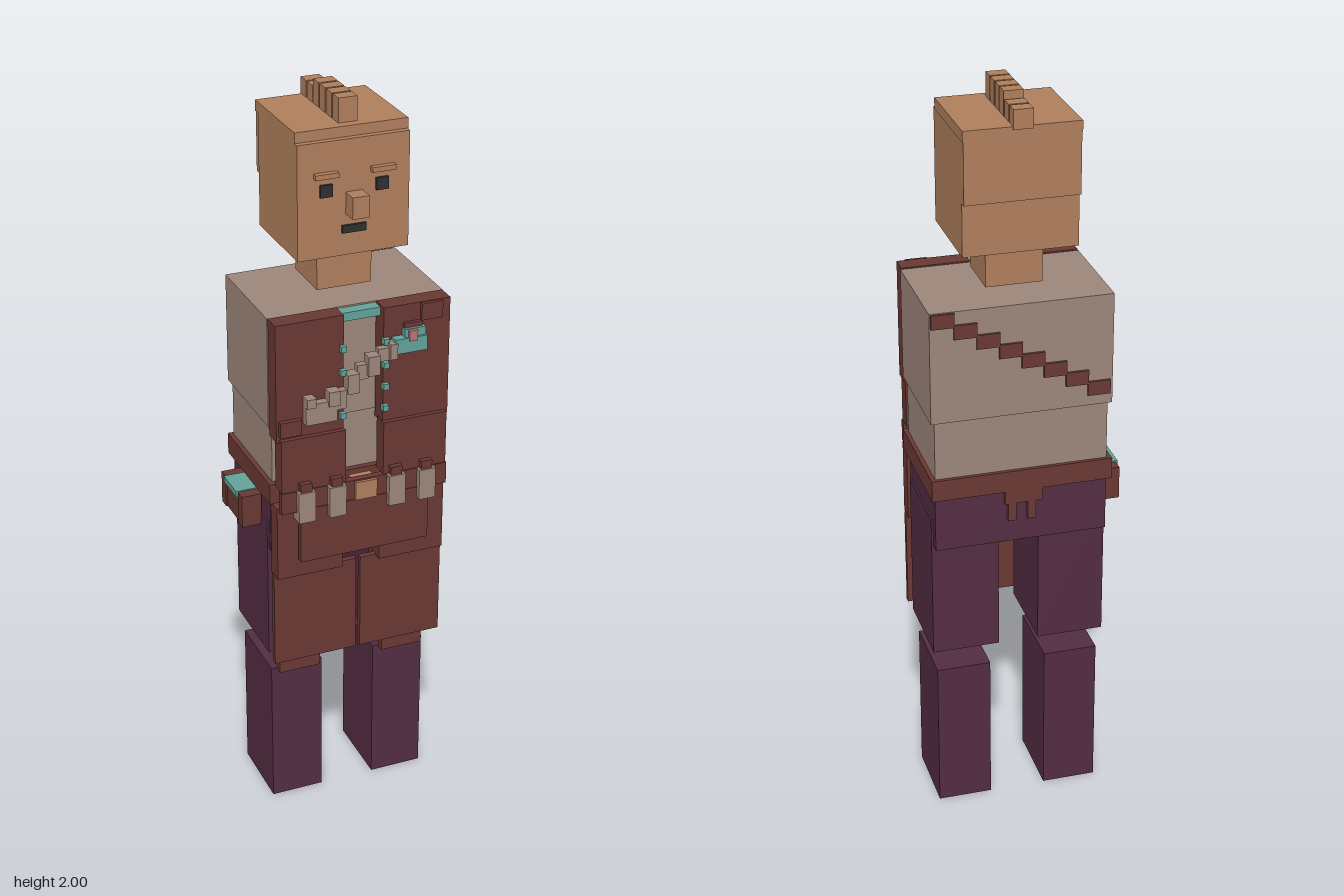
import * as THREE from 'three';

const mat = (name, color) => {
  const m = new THREE.MeshStandardMaterial({ color });
  m.name = name;
  return m;
};

export function createModel() {
  const skin = mat('skin', 0xae7e5b);
  const cloth = mat('taupeCloth', 0x9b857a);
  const leather = mat('brownLeather', 0x693833);
  const trousers = mat('plumTrousers', 0x522c42);
  const teal = mat('teal', 0x62a29a);
  const dark = mat('charcoal', 0x2f2f2f);
  const pink = mat('pinkGem', 0xb87474);

  const model = new THREE.Group();
  model.name = 'blockFigure';

  // Box given by its lower and upper limits on each axis
  const box = (name, m, x0, x1, y0, y1, z0, z1) => {
    const mesh = new THREE.Mesh(new THREE.BoxGeometry(x1 - x0, y1 - y0, z1 - z0), m);
    mesh.position.set((x0 + x1) / 2, (y0 + y1) / 2, (z0 + z1) / 2);
    mesh.name = name;
    model.add(mesh);
    return mesh;
  };
  // Pair of boxes mirrored about the body's middle line
  const MID = 0.024;
  const pair = (name, m, x0, x1, ...rest) => {
    box(name + 'Left', m, x0, x1, ...rest);
    box(name + 'Right', m, 2 * MID - x1, 2 * MID - x0, ...rest);
  };

  // Head and neck
  box('neck', skin, -0.05, 0.098, 1.5, 1.612, -0.11, 0.034);
  box('head', skin, -0.124, 0.172, 1.61, 1.91, -0.17, 0.093);
  box('scalp', skin, -0.124, 0.174, 1.908, 1.937, -0.19, 0.077);
  box('hairBack', skin, -0.122, 0.172, 1.75, 1.909, -0.19, -0.165);

  // Row of hair tufts along the crown
  for (let i = 0; i < 6; i++) {
    const z = -0.194 + i * 0.042;
    box('hairTuft', skin, 0, 0.05, 1.93, i < 2 ? 1.98 : 2, z, z + 0.036);
  }

  // Face
  pair('eyebrow', skin, 0.068, 0.13, 1.82, 1.833, 0.09, 0.108);
  pair('eye', dark, 0.082, 0.114, 1.77, 1.802, 0.09, 0.1);
  box('nose', skin, 0.003, 0.047, 1.718, 1.775, 0.09, 0.137);
  box('mouth', dark, -0.008, 0.056, 1.67, 1.69, 0.09, 0.1);

  // Torso and collar
  box('chest', cloth, -0.213, 0.263, 1.18, 1.48, -0.19, 0.108);
  box('waist', cloth, -0.203, 0.253, 1.01, 1.181, -0.183, 0.104);
  box('collar', teal, -0.063, 0.115, 1.453, 1.476, 0.1, 0.14);

  // Coat: chest, waist, hip and thigh panels on both sides
  pair('coatChest', leather, 0.078, 0.26, 1.16, 1.482, 0.112, 0.162);
  pair('coatWaist', leather, 0.076, 0.252, 1.02, 1.168, 0.13, 0.175);
  pair('coatHip', leather, 0.076, 0.258, 0.755, 0.965, 0.109, 0.155);
  pair('coatSkirt', leather, 0.03, 0.262, 0.485, 0.76, 0.121, 0.137);
  box('frontApron', leather, -0.155, 0.203, 0.81, 0.965, 0.162, 0.18);

  // Belt, buckle and pouches
  box('belt', leather, -0.216, 0.264, 0.962, 1.02, -0.193, 0.12);
  box('beltFront', leather, -0.206, 0.254, 0.96, 1.02, 0.159, 0.178);
  box('buckle', skin, -0.005, 0.055, 0.965, 1.016, 0.137, 0.186);
  for (const x of [-0.165, -0.08, 0.085, 0.17]) {
    box('beltPouch', cloth, x, x + 0.046, 0.934, 1.02, 0.14, 0.195);
    box('pouchLoop', leather, x + 0.007, x + 0.038, 1.015, 1.043, 0.16, 0.19);
  }

  // Loose strap ends on the back of the belt
  box('backStrap', leather, -0.03, 0.07, 0.925, 0.965, -0.19, -0.17);
  for (const x of [-0.012, 0.04]) box('backStrapEnd', leather, x, x + 0.022, 0.875, 0.93, -0.19, -0.17);

  // Side holster
  box('holster', leather, -0.258, -0.208, 0.86, 0.94, -0.09, 0.01);
  box('holsterFront', leather, -0.262, -0.208, 0.86, 0.95, 0.005, 0.035);
  box('holsterBack', leather, -0.262, -0.208, 0.86, 0.95, -0.12, -0.088);
  box('holsterFlap', teal, -0.267, -0.208, 0.936, 0.953, -0.088, 0.005);

  // Bandolier: stepped strap across the back and its front ends
  for (let i = 0; i < 8; i++) {
    const x = 0.2 - i * 0.058;
    const y = 1.44 - i * 0.033;
    box('bandolierBack', leather, x, x + 0.06, y, y + 0.038, -0.197, -0.186);
  }
  box('bandolierLow', leather, -0.206, -0.148, 1.178, 1.22, 0.155, 0.176);
  box('bandolierHigh', leather, 0.178, 0.236, 1.435, 1.48, 0.155, 0.172);
  box('bandolierMid', leather, 0.13, 0.18, 1.4, 1.435, 0.155, 0.172);

  // Cartridges climbing along the front of the bandolier
  const steps = [
    [-0.14, -0.055, 1.205, 1.262, 0.184], [-0.14, -0.115, 1.255, 1.28, 0.192],
    [-0.08, -0.05, 1.25, 1.29, 0.192], [-0.055, -0.03, 1.235, 1.285, 0.184],
    [-0.03, 0.002, 1.275, 1.328, 0.192], [0, 0.03, 1.305, 1.345, 0.18],
    [0.026, 0.057, 1.315, 1.368, 0.192], [0.057, 0.09, 1.345, 1.38, 0.18],
    [0.085, 0.105, 1.35, 1.392, 0.192],
  ];
  for (const [x0, x1, y0, y1, z1] of steps) box('cartridge', cloth, x0, x1, y0, y1, 0.16, z1);

  // Chest ornament
  box('brooch', teal, 0.1, 0.188, 1.36, 1.4, 0.155, 0.186);
  box('broochTop', teal, 0.128, 0.186, 1.398, 1.422, 0.155, 0.18);
  box('broochGem', pink, 0.138, 0.16, 1.392, 1.42, 0.165, 0.19);

  // Buttons down the coat edges
  for (const y of [1.2, 1.26, 1.32, 1.385]) pair('button', teal, 0.075, 0.09, y, y + 0.016, 0.155, 0.175);

  // Hips, legs and knee flaps
  box('hips', trousers, -0.205, 0.253, 0.81, 0.965, -0.178, 0.093);
  pair('thigh', trousers, 0.078, 0.258, 0.485, 0.89, -0.152, 0.08);
  pair('shin', trousers, 0.1, 0.246, 0, 0.42, -0.143, 0.065);
  pair('kneeFlap', leather, 0.115, 0.232, 0.42, 0.51, 0.068, 0.092);

  return model;
}
